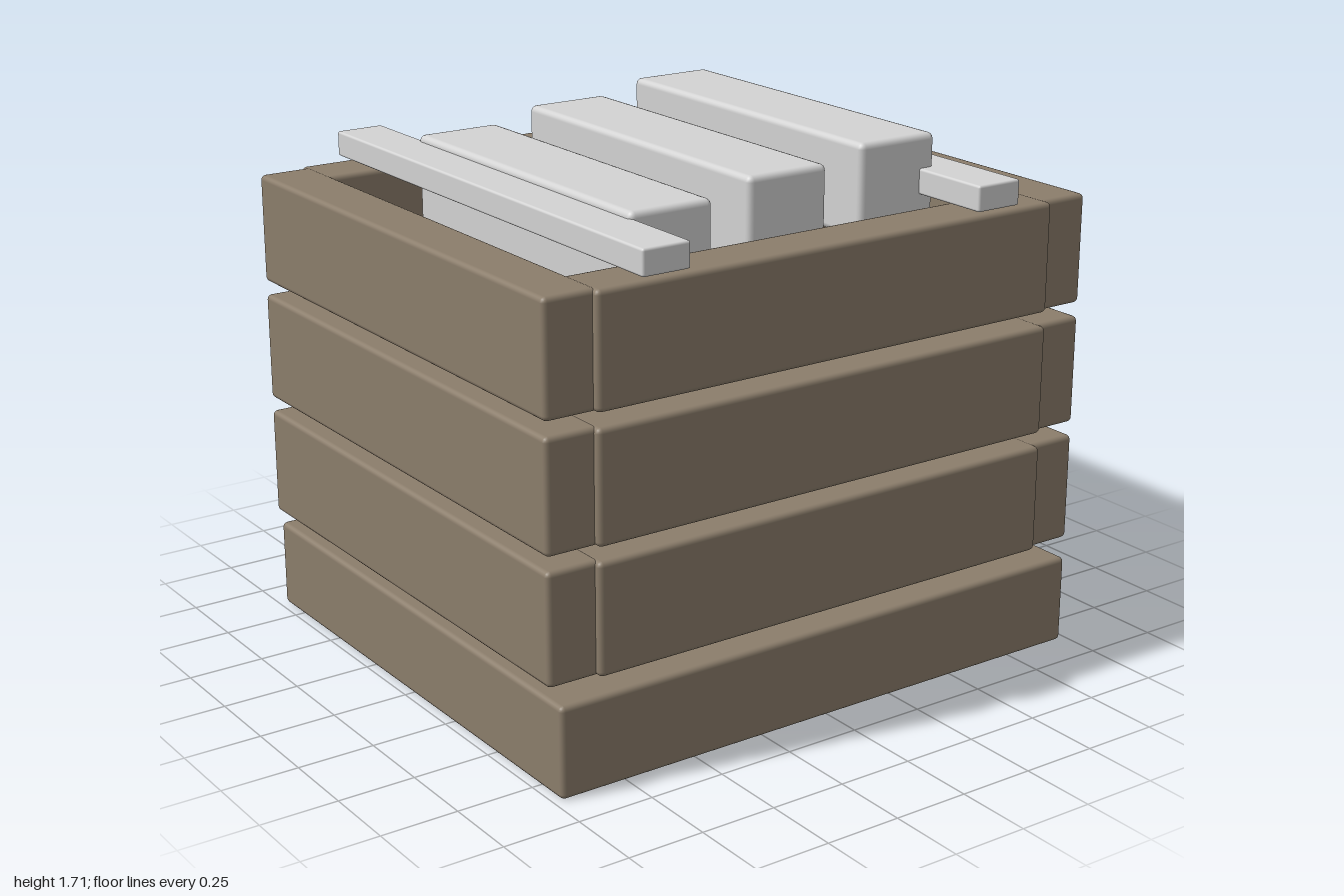
import * as THREE from 'three';
import { RoundedBoxGeometry } from 'three/addons/geometries/RoundedBoxGeometry.js';

const wood = new THREE.MeshStandardMaterial({ color: 0x8b7d6b });
wood.name = 'brown wood';
const metal = new THREE.MeshStandardMaterial({ color: 0xd3d3d3 });
metal.name = 'light grey';

// Rounded box given by its extents on each axis
function block(name, material, [x0, x1], [y0, y1], [z0, z1], radius) {
  const geometry = new RoundedBoxGeometry(x1 - x0, y1 - y0, z1 - z0, 2, radius);
  const mesh = new THREE.Mesh(geometry, material);
  mesh.position.set((x0 + x1) / 2, (y0 + y1) / 2, (z0 + z1) / 2);
  mesh.name = name;
  return mesh;
}

export function createModel() {
  const model = new THREE.Group();
  model.name = 'crate';

  // Solid base
  model.add(block('base', wood, [-0.975, 0.975], [0, 0.293], [-0.873, 0.873], 0.016));

  // Three open frames of planks, with gaps between them
  for (let i = 0; i < 3; i++) {
    const y = [0.35 + i * 0.4, 0.705 + i * 0.4];
    const frame = new THREE.Group();
    frame.name = `plankFrame${i + 1}`;
    frame.add(
      block('frontPlank', wood, [-0.84, 0.84], y, [0.69, 0.873], 0.016),
      block('backPlank', wood, [-0.84, 0.84], y, [-0.873, -0.69], 0.016),
      block('leftPlank', wood, [0.82, 1], y, [-0.85, 0.85], 0.016),
      block('rightPlank', wood, [-1, -0.82], y, [-0.85, 0.85], 0.016),
    );
    model.add(frame);
  }

  // Bars lying inside, each a little higher than the last
  [1.623, 1.667, 1.709].forEach((top, i) => {
    const x = -0.55 + i * 0.422;
    model.add(block(`bar${i + 1}`, metal, [x, x + 0.292], [top - 0.3, top], [-0.608, 0.608], 0.02));
  });

  // Two thin rails across the rim
  for (const [name, x] of [['rightRail', -0.697], ['leftRail', 0.527]]) {
    model.add(block(name, metal, [x, x + 0.163], [1.52, 1.602], [-0.884, 0.884], 0.008));
  }
  return model;
}
